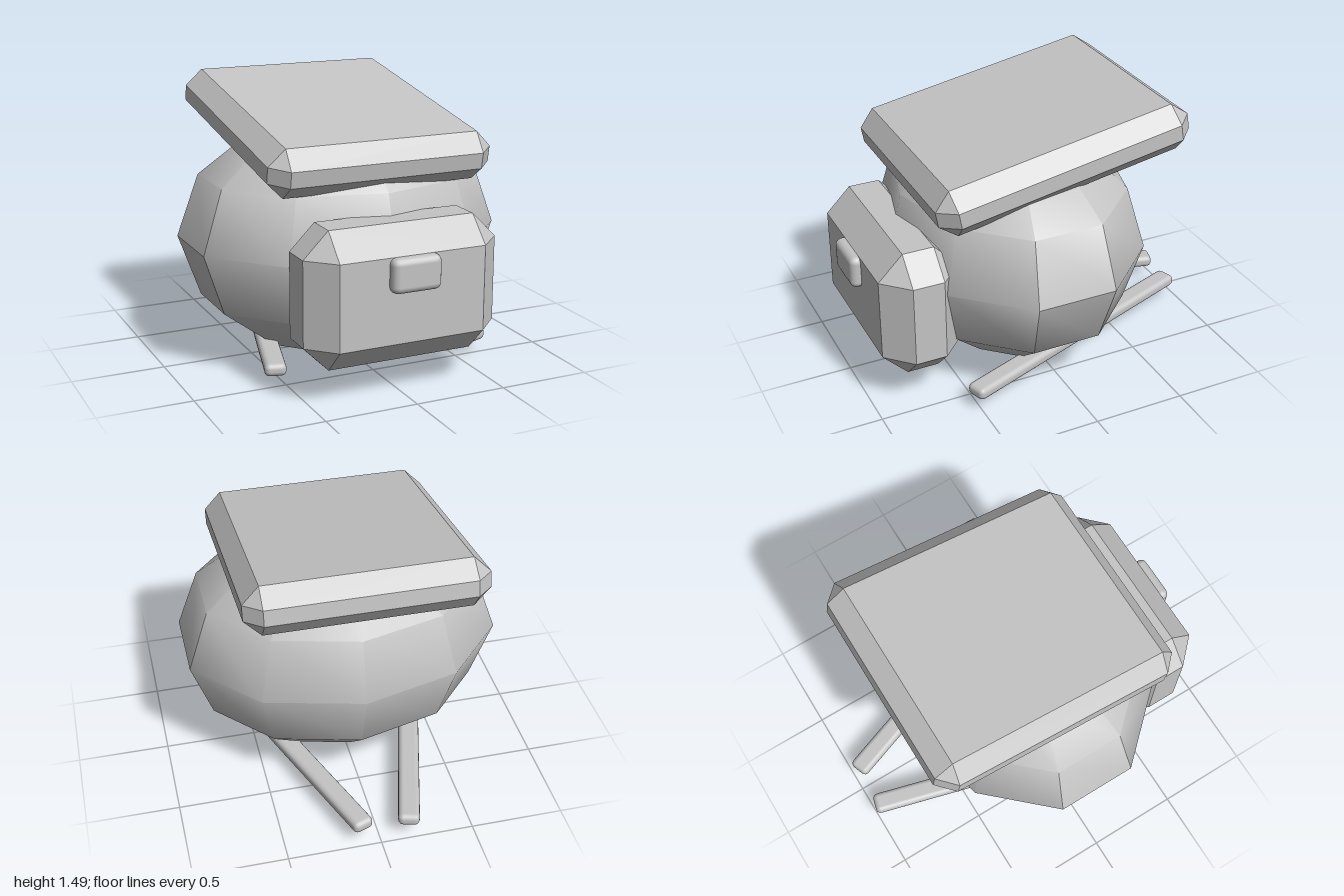
import * as THREE from 'three';
import { toCreasedNormals } from 'three/addons/utils/BufferGeometryUtils.js';
import { ConvexGeometry } from 'three/addons/geometries/ConvexGeometry.js';
import { RoundedBoxGeometry } from 'three/addons/geometries/RoundedBoxGeometry.js';

// Box with every edge and corner cut flat by c
function chamferedBox(w, h, d, c) {
  const x = w / 2, y = h / 2, z = d / 2;
  const points = [];
  for (const sx of [-1, 1]) for (const sy of [-1, 1]) for (const sz of [-1, 1]) {
    points.push(
      new THREE.Vector3(sx * x, sy * (y - c), sz * (z - c)),
      new THREE.Vector3(sx * (x - c), sy * y, sz * (z - c)),
      new THREE.Vector3(sx * (x - c), sy * (y - c), sz * z),
    );
  }
  return new ConvexGeometry(points);
}

export function createModel() {
  const group = new THREE.Group();
  const grey = new THREE.MeshStandardMaterial({ color: 0xc4c4c4 });
  grey.name = 'grey';

  function add(name, geometry, x, y, z) {
    const mesh = new THREE.Mesh(geometry, grey);
    mesh.name = name;
    mesh.position.set(x, y, z);
    group.add(mesh);
    return mesh;
  }

  // Low-poly rounded bag, flat at the two sides
  const bag = new THREE.SphereGeometry(1, 10, 6, Math.PI / 10);
  bag.scale(0.894, 0.67, 0.705);
  add('bag', toCreasedNormals(bag, THREE.MathUtils.degToRad(35)), 0, 0.674, 0.05);

  // Tilted top flap
  const flap = add('topFlap', chamferedBox(1.245, 0.264, 1.434, 0.089), 0, 1.252, -0.035);
  flap.rotation.x = THREE.MathUtils.degToRad(10);

  // Front pocket and its buckle
  add('frontPocket', chamferedBox(1.07, 0.72, 0.44, 0.135), 0, 0.54, 0.725);
  add('buckle', new RoundedBoxGeometry(0.27, 0.18, 0.14, 2, 0.035), 0, 0.675, 0.928);

  // Splayed straps under the bag
  const strap = new RoundedBoxGeometry(0.115, 0.068, 1.6, 2, 0.028);
  const left = add('leftStrap', strap, 0.357, 0.11, -0.22);
  left.rotation.y = THREE.MathUtils.degToRad(20);
  const right = add('rightStrap', strap, -0.362, 0.11, -0.22);
  right.rotation.y = THREE.MathUtils.degToRad(-15.5);

  return group;
}
